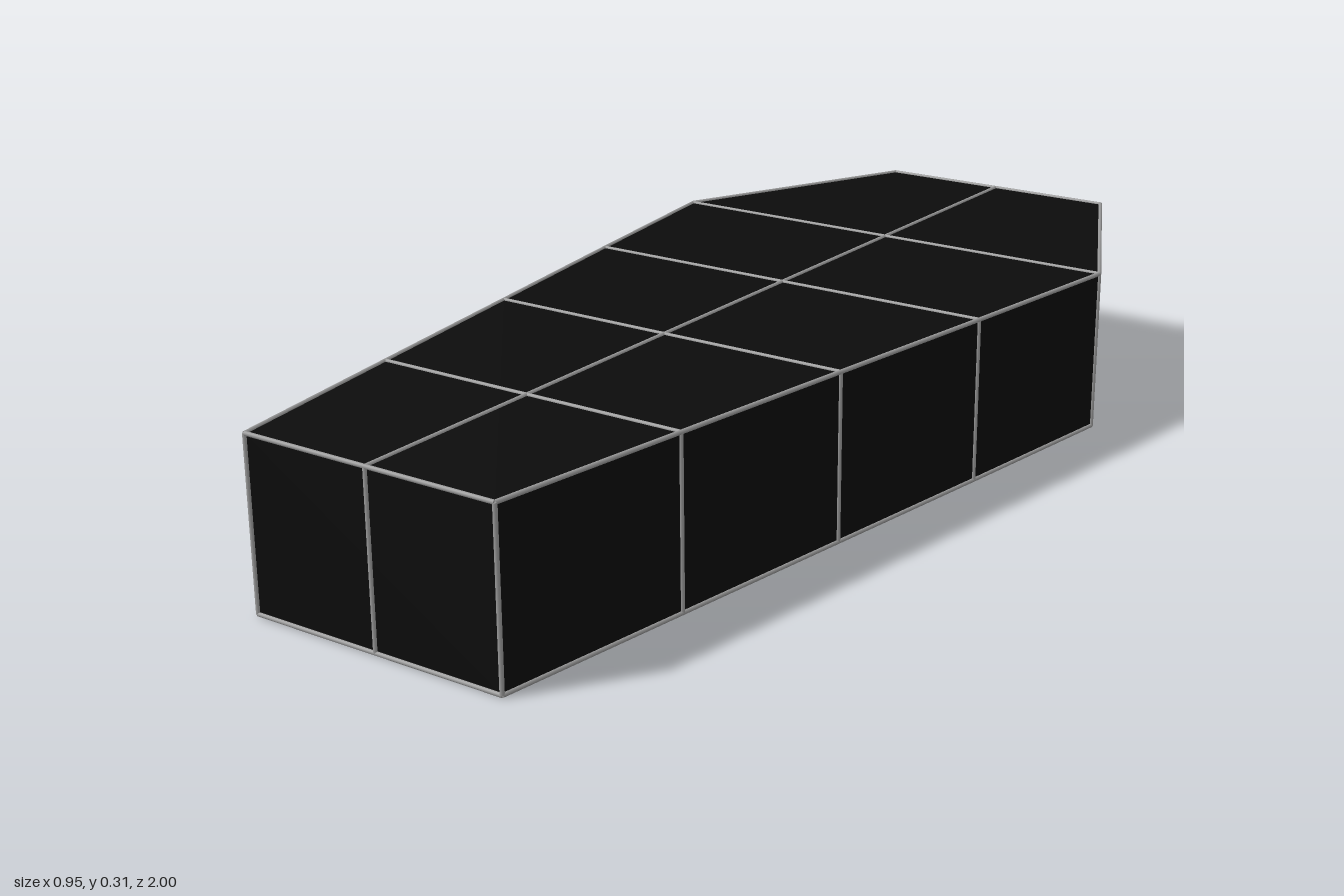
import * as THREE from 'three';

const R = 0.004;      // seam radius
const LOW = R, HIGH = 0.311;
// Half width and z of each cross-section, foot to head
const stations = [[0.25, 0.996], [0.306, 0.616], [0.362, 0.236], [0.418, -0.144], [0.472, -0.524], [0.25, -0.996]];

const bodyMaterial = new THREE.MeshStandardMaterial({ color: 0x0c0c0c });
const seamMaterial = new THREE.MeshStandardMaterial({ color: 0x999999 });

// Thin rod between two points
function rod(a, b) {
  const dir = b.clone().sub(a);
  const length = dir.length();
  const mesh = new THREE.Mesh(new THREE.CylinderGeometry(R, R, length, 8), seamMaterial);
  mesh.position.copy(a).add(b).multiplyScalar(0.5);
  mesh.quaternion.setFromUnitVectors(new THREE.Vector3(0, 1, 0), dir.normalize());
  mesh.name = 'seam';
  return mesh;
}

export function createModel() {
  const model = new THREE.Group();
  model.name = 'coffin';

  // Solid six-sided body, extruded upwards
  const outline = [...stations.map(([w, z]) => [w, z]), ...[...stations].reverse().map(([w, z]) => [-w, z])];
  const shape = new THREE.Shape(outline.map(([x, z]) => new THREE.Vector2(x, -z)));
  const geometry = new THREE.ExtrudeGeometry(shape, { depth: HIGH - LOW, bevelEnabled: false });
  geometry.rotateX(-Math.PI / 2).translate(0, LOW, 0);
  const body = new THREE.Mesh(geometry, bodyMaterial);
  body.name = 'body';
  model.add(body);

  const seams = new THREE.Group();
  seams.name = 'seams';
  const v = (x, y, z) => new THREE.Vector3(x, y, z);

  stations.forEach(([w, z], i) => {
    // Hoop around each cross-section
    for (const y of [LOW, HIGH]) seams.add(rod(v(-w, y, z), v(w, y, z)));
    const isEnd = i === 0 || i === stations.length - 1;
    for (const x of isEnd ? [-w, 0, w] : [-w, w]) seams.add(rod(v(x, LOW, z), v(x, HIGH, z)));

    // Lengthwise edges and centre line to the next section
    if (i === stations.length - 1) return;
    const [w2, z2] = stations[i + 1];
    for (const y of [LOW, HIGH]) {
      for (const s of [-1, 0, 1]) seams.add(rod(v(s * w, y, z), v(s * w2, y, z2)));
    }
  });
  model.add(seams);
  return model;
}
